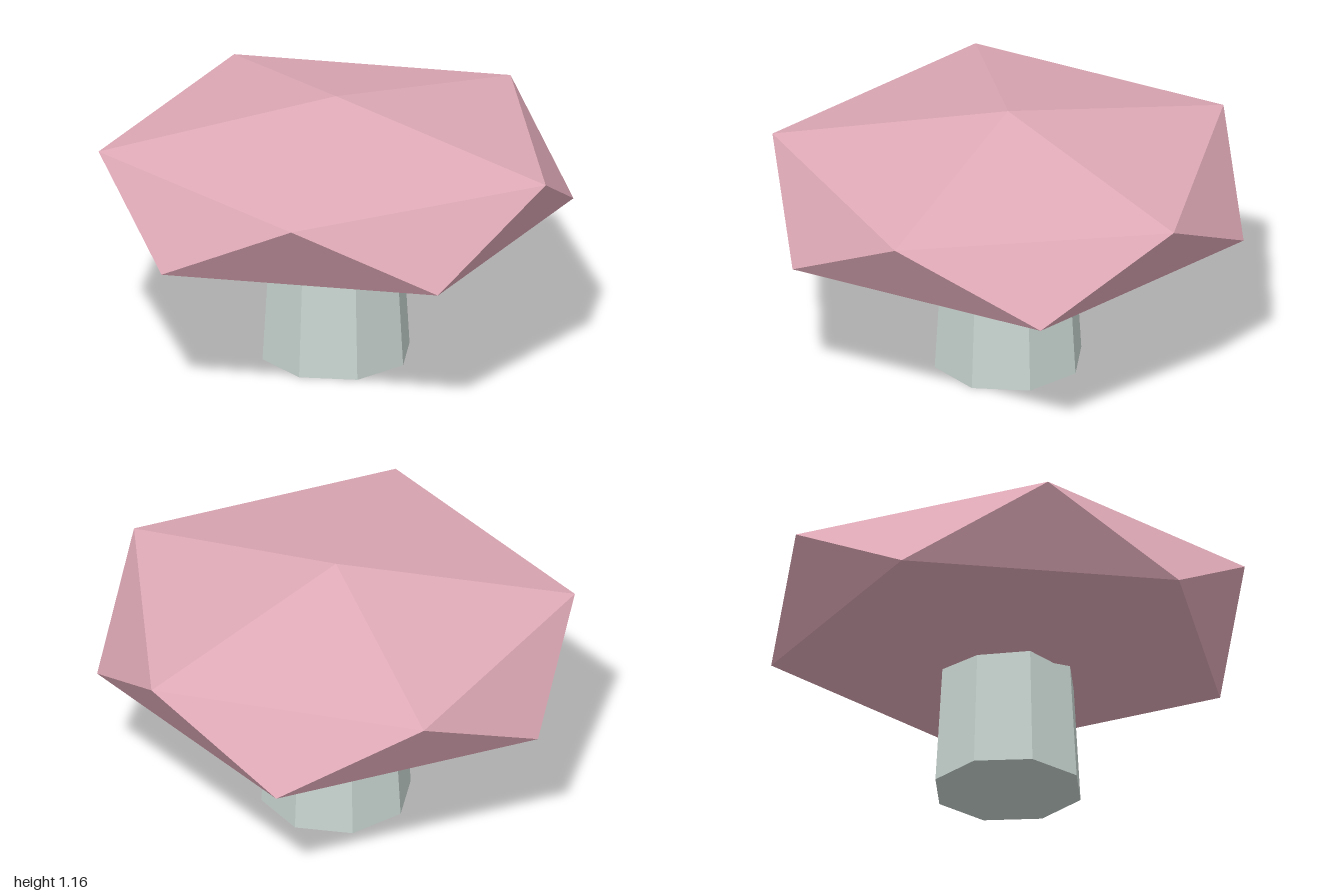
import * as THREE from 'three';

// Squashed icosahedron: two staggered pentagon rings between two apexes
function capGeometry() {
  const ring = (y, offset) => Array.from({ length: 5 }, (_, i) => {
    const a = offset + (i * Math.PI * 2) / 5;
    return [Math.cos(a), y, -Math.sin(a)];
  });
  const top = [0, 1.158, 0], bottom = [0, 0.442, 0];
  const upper = ring(0.96, 0), lower = ring(0.64, Math.PI / 5);
  const points = [];
  for (let i = 0; i < 5; i++) {
    const j = (i + 1) % 5;
    points.push(
      ...top, ...upper[i], ...upper[j],
      ...upper[i], ...lower[i], ...upper[j],
      ...upper[j], ...lower[i], ...lower[j],
      ...bottom, ...lower[j], ...lower[i],
    );
  }
  const geometry = new THREE.BufferGeometry();
  geometry.setAttribute('position', new THREE.Float32BufferAttribute(points, 3));
  geometry.computeVertexNormals();
  return geometry;
}

export function createModel() {
  const group = new THREE.Group();
  group.name = 'mushroom';
  const pink = new THREE.MeshStandardMaterial({ color: 0xe0aab8, flatShading: true });
  pink.name = 'dusty pink';
  const grey = new THREE.MeshStandardMaterial({ color: 0xc8d4d0, flatShading: true });
  grey.name = 'pale grey green';

  const cap = new THREE.Mesh(capGeometry(), pink);
  cap.name = 'cap';

  // Tapered eight-sided stem, its top hidden inside the cap
  const stem = new THREE.Mesh(new THREE.CylinderGeometry(0.284, 0.32, 0.6, 8), grey);
  stem.name = 'stem';
  stem.position.y = 0.3;

  group.add(cap, stem);
  return group;
}
